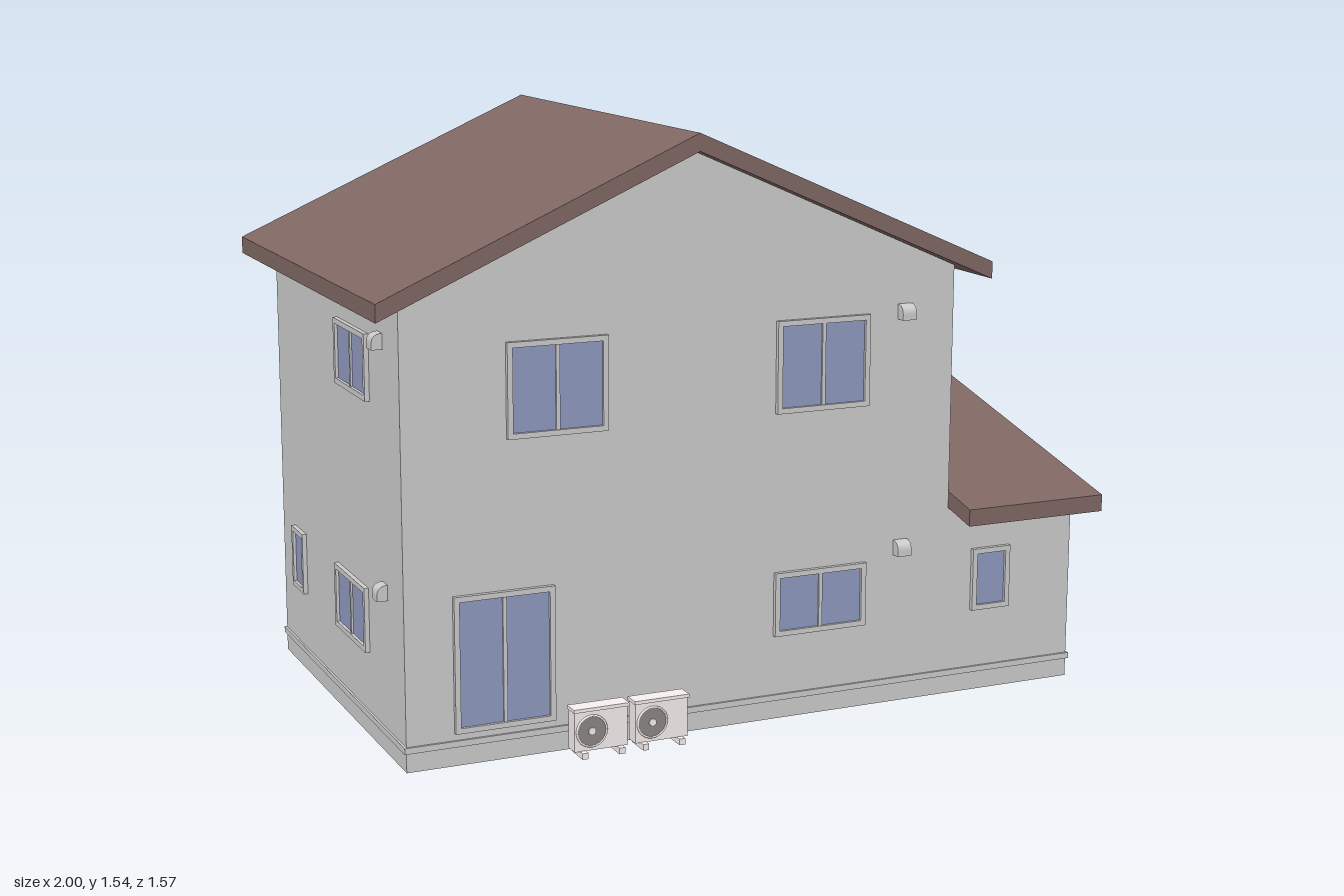
import * as THREE from 'three';

const mat = (color) => new THREE.MeshStandardMaterial({ color });
const WALL = mat(0xcccccc), FRAME = mat(0xe4e4e4), GLASS = mat(0x8f99c0), ROOF = mat(0x7f6763);
const WOOD = mat(0xdcb898), APPLIANCE = mat(0xf6efee), DARK = mat(0x8a8686);

function mesh(name, geometry, material, parent) {
  const m = new THREE.Mesh(geometry, material);
  m.name = name;
  parent.add(m);
  return m;
}

// Box given by its limits on each axis
function box(name, [x0, x1], [y0, y1], [z0, z1], material, parent) {
  const m = mesh(name, new THREE.BoxGeometry(x1 - x0, y1 - y0, z1 - z0), material, parent);
  m.position.set((x0 + x1) / 2, (y0 + y1) / 2, (z0 + z1) / 2);
  return m;
}

const shapeOf = (pts) => new THREE.Shape(pts.map(([a, b]) => new THREE.Vector2(a, b)));
const extrude = (shape, depth) =>
  new THREE.ExtrudeGeometry(shape, { depth, bevelEnabled: false, curveSegments: 10 });

// (x, y) profile run along z
function prismZ(name, pts, z0, z1, material, parent) {
  mesh(name, extrude(shapeOf(pts), z1 - z0).translate(0, 0, z0), material, parent);
}

// (z, y) profile run along x
function prismX(name, pts, x0, x1, material, parent) {
  const g = extrude(shapeOf(pts.map(([z, y]) => [-z, y])), x1 - x0);
  mesh(name, g.rotateY(Math.PI / 2).translate(x0, 0, 0), material, parent);
}

// (x, z) outline raised from y0 to y1
function prismY(name, pts, y0, y1, material, parent) {
  const g = extrude(shapeOf(pts.map(([x, z]) => [x, -z])), y1 - y0);
  mesh(name, g.rotateX(-Math.PI / 2).translate(0, y0, 0), material, parent);
}

// Rectangular ring, centred, facing +z
function ring(w, h, t, depth) {
  const rect = (a, b) => [[-a, -b], [a, -b], [a, b], [-a, b]];
  const s = shapeOf(rect(w / 2, h / 2));
  s.holes.push(new THREE.Path(shapeOf(rect(w / 2 - t, h / 2 - t)).getPoints()));
  return extrude(s, depth);
}

// Wall planes: place an object that faces +z onto one of them
const WALLS = {
  front: (u, y) => [u, y, 0.675, 0],
  back: (u, y) => [u, y, -0.41, Math.PI],
  right: (u, y) => [0.59, y, u, Math.PI / 2],
  annex: (u, y) => [0.975, y, u, Math.PI / 2],
  left: (u, y) => [-0.925, y, u, -Math.PI / 2],
};
function place(object, wall, u, y) {
  const [px, py, pz, turn] = WALLS[wall](u, y);
  object.position.set(px, py, pz);
  object.rotation.y = turn;
}

function addWindow(parent, wall, u0, u1, y0, y1) {
  const g = new THREE.Group(), w = u1 - u0, h = y1 - y0;
  g.name = 'window';
  mesh('windowFrame', ring(w, h, 0.014, 0.012), FRAME, g);
  box('glass', [-w / 2 + 0.01, w / 2 - 0.01], [-h / 2 + 0.01, h / 2 - 0.01], [-0.01, 0.004], GLASS, g);
  if (w > 0.15) box('mullion', [-0.005, 0.005], [-h / 2 + 0.01, h / 2 - 0.01], [0, 0.009], FRAME, g);
  place(g, wall, (u0 + u1) / 2, (y0 + y1) / 2);
  parent.add(g);
}

// Vent hood with a rounded top
function addVent(parent, wall, u, y) {
  const s = new THREE.Shape();
  s.moveTo(0, -0.02);
  s.lineTo(0, 0.02);
  s.quadraticCurveTo(-0.028, 0.02, -0.028, -0.006);
  s.lineTo(-0.028, -0.02);
  const g = extrude(s, 0.04).rotateY(Math.PI / 2).translate(-0.02, 0, 0);
  place(mesh('ventHood', g, FRAME, parent), wall, u, y);
}

// Outdoor air conditioner, facing +z, standing on y = 0
function airConditioner(parent, x, y, z, turn = 0) {
  const g = new THREE.Group();
  g.name = 'airConditioner';
  box('casing', [-0.072, 0.072], [0.015, 0.12], [-0.022, 0.018], APPLIANCE, g);
  box('casingTop', [-0.075, 0.075], [0.118, 0.127], [-0.024, 0.022], APPLIANCE, g);
  const fan = mesh('fan', new THREE.CylinderGeometry(0.038, 0.038, 0.006, 24).rotateX(Math.PI / 2), DARK, g);
  fan.position.set(-0.026, 0.066, 0.018);
  mesh('fanRim', new THREE.TorusGeometry(0.04, 0.003, 6, 24), APPLIANCE, g).position.set(-0.026, 0.066, 0.02);
  mesh('fanHub', new THREE.CylinderGeometry(0.01, 0.01, 0.006, 12).rotateX(Math.PI / 2), APPLIANCE, g)
    .position.set(-0.026, 0.066, 0.021);
  for (const s of [-1, 1]) box('foot', [s * 0.05 - 0.008, s * 0.05 + 0.008], [0, 0.016], [-0.036, 0.036], APPLIANCE, g);
  g.position.set(x, y, z);
  g.rotation.y = turn;
  parent.add(g);
}

export function createModel() {
  const house = new THREE.Group();
  house.name = 'house';

  // Main two-storey block and its gable roof
  prismZ('mainWalls', [[-0.925, 0], [0.59, 0], [0.59, 1.167], [-0.17, 1.5], [-0.925, 1.167]], -0.41, 0.675, WALL, house);
  prismZ('mainRoof', [[-1, 1.135], [-0.17, 1.5], [0.665, 1.135], [0.665, 1.18], [-0.17, 1.545], [-1, 1.18]],
    -0.485, 0.74, ROOF, house);

  // Single-storey annex, with a porch cut into its back wall
  const ridge = -0.415, porch = [0.42, 0.855], porchTop = 0.42, doorZ = -0.63;
  const under = (z) => z > ridge
    ? 0.765 - (z - ridge) * 0.275 / 1.2
    : 0.765 - (ridge - z) * 0.275 / 0.345;
  const slab = (z0, z1, y0 = 0) => [[z0, y0], [z1, y0], [z1, under(z1)], [z0, under(z0)]];
  prismX('annexWalls', slab(ridge, 0.675), 0.58, 0.975, WALL, house);
  prismX('annexBackWalls', slab(doorZ, ridge), 0.27, 0.975, WALL, house);
  prismX('porchPier', slab(-0.73, doorZ), 0.27, porch[0], WALL, house);
  prismX('porchPier', slab(-0.73, doorZ), porch[1], 0.975, WALL, house);
  prismX('porchLintel', slab(-0.73, doorZ, porchTop), porch[0], porch[1], WALL, house);
  prismX('annexFrontRoof', [[0.785, 0.49], [0.785, 0.535], [ridge, 0.81], [ridge, 0.765]], 0.59, 1, ROOF, house);
  prismX('annexBackRoof', [[-0.76, 0.49], [-0.76, 0.535], [ridge, 0.81], [ridge, 0.765]], 0.23, 1, ROOF, house);

  // Base moulding that follows the outline of the walls
  const e = 0.006;
  prismY('baseMoulding', [
    [-0.925 - e, 0.675 + e], [0.975 + e, 0.675 + e], [0.975 + e, -0.73 - e], [porch[1] - e, -0.73 - e],
    [porch[1] - e, doorZ - e], [porch[0] + e, doorZ - e], [porch[0] + e, -0.73 - e],
    [0.27 - e, -0.73 - e], [0.27 - e, -0.41 - e], [-0.925 - e, -0.41 - e],
  ], 0.05, 0.066, FRAME, house);

  // Entrance: step, framed sliding door and transom
  prismY('porchStep', [[0.385, -0.6], [0.84, -0.6], [0.84, -0.765], [0.82, -0.785], [0.405, -0.785], [0.385, -0.765]],
    0, 0.012, WALL, house);
  const door = new THREE.Group();
  door.name = 'entranceDoor';
  door.position.set(0.68, 0.205, doorZ);
  door.rotation.y = Math.PI;
  mesh('doorFrame', ring(0.31, 0.39, 0.014, 0.018), FRAME, door);
  for (const s of [-1, 1])
    box('doorPanel', [s * 0.07 - 0.069, s * 0.07 + 0.069], [-0.185, 0.105], [-0.01, s > 0 ? 0.013 : 0.009], WOOD, door);
  box('transomBar', [-0.145, 0.145], [0.103, 0.113], [0, 0.016], FRAME, door);
  box('transomGlass', [-0.145, 0.145], [0.11, 0.185], [-0.01, 0.008], GLASS, door);
  box('transomMullion', [-0.005, 0.005], [0.11, 0.185], [0, 0.014], FRAME, door);
  house.add(door);

  // Windows: wall, span along the wall, height span
  for (const w of [
    ['front', -0.655, -0.39, 0.815, 1.055], ['front', 0.075, 0.34, 0.815, 1.055],
    ['front', -0.8, -0.535, 0.085, 0.435], ['front', 0.075, 0.34, 0.225, 0.395],
    ['front', 0.665, 0.78, 0.225, 0.395],
    ['right', 0.24, 0.505, 0.815, 1.055], ['right', -0.24, -0.125, 0.925, 1.055],
    ['annex', 0.25, 0.515, 0.22, 0.395], ['annex', -0.37, -0.1, 0.22, 0.395],
    ['left', 0.17, 0.435, 0.885, 1.055], ['left', 0.125, 0.39, 0.225, 0.395],
    ['left', -0.29, -0.18, 0.225, 0.395],
    ['back', 0.08, 0.345, 0.885, 1.055], ['back', -0.675, -0.41, 0.71, 1.055],
    ['back', -0.095, 0.02, 0.225, 0.395], ['back', -0.675, -0.41, 0.225, 0.395],
  ]) addWindow(house, ...w);

  // Vent hoods
  for (const [wall, u] of [['front', 0.445], ['left', 0.53], ['back', -0.765]])
    for (const y of [0.425, 1.055]) addVent(house, wall, u, y);
  addVent(house, 'back', 0.15, 0.425);

  // Balcony: floor, parapets and wooden coping
  const balcony = new THREE.Group();
  balcony.name = 'balcony';
  const [bx0, bx1, bz] = [-0.835, -0.045, -0.645];
  box('balconyFloor', [bx0, bx1], [0.67, 0.7], [bz, -0.41], WALL, balcony);
  const parapets = [
    [[bx0, bx1], [bz, bz + 0.026]],
    [[bx0, bx0 + 0.026], [bz + 0.026, -0.41]],
    [[bx1 - 0.026, bx1], [bz + 0.026, -0.41]],
  ];
  for (const [xs, zs] of parapets) {
    box('parapet', xs, [0.7, 0.888], zs, WALL, balcony);
    box('coping', xs, [0.888, 0.896], zs, WOOD, balcony);
  }
  house.add(balcony);

  // Air conditioners: two on the ground, one above the annex roof
  airConditioner(house, -0.437, 0, 0.725);
  airConditioner(house, -0.272, 0, 0.725);
  airConditioner(house, 0.5, 0.795, -0.437, Math.PI);

  return house;
}
